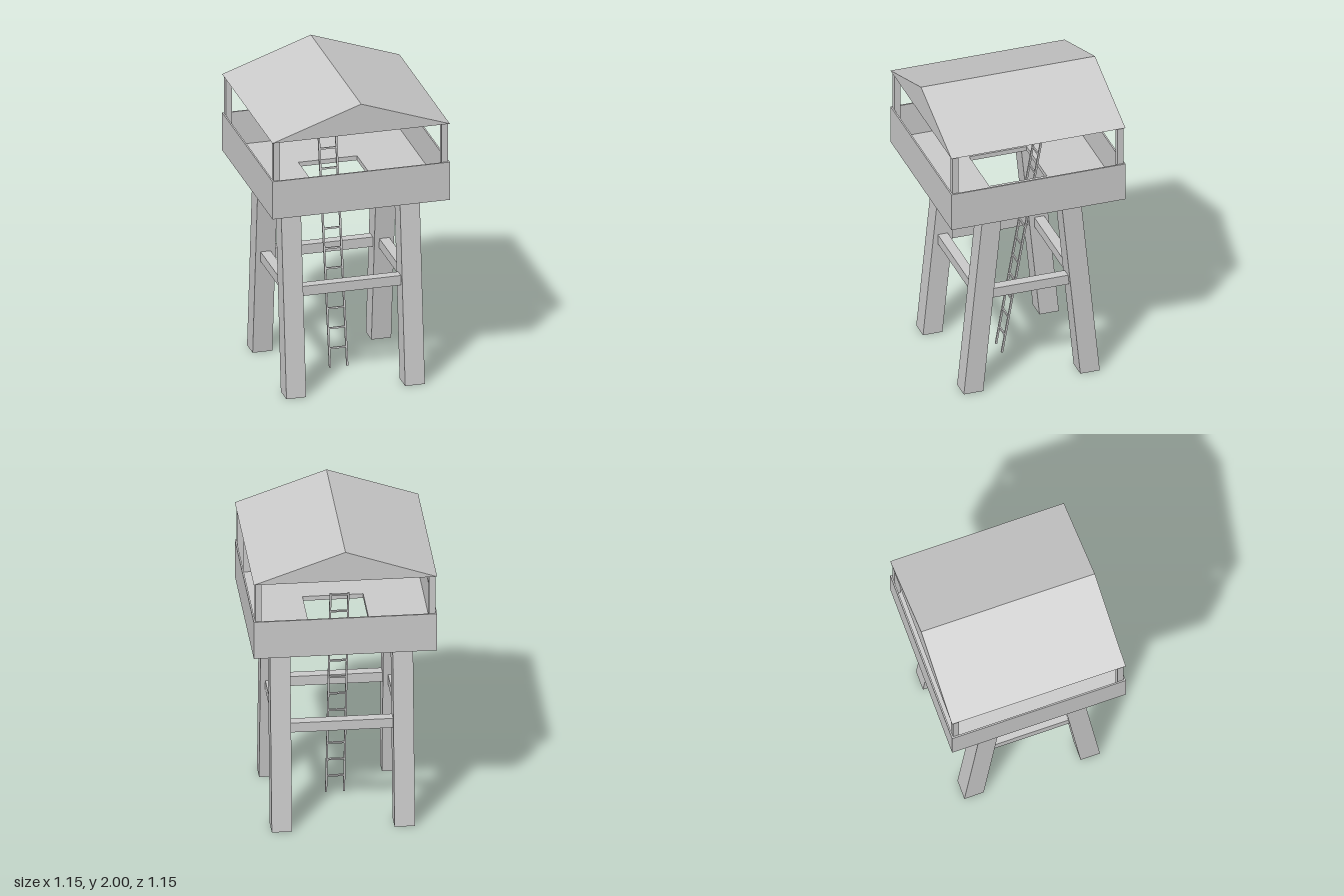
import * as THREE from 'three';

const material = new THREE.MeshStandardMaterial({ color: 0xcccccc, flatShading: true });

function add(parent, name, geometry, x = 0, y = 0, z = 0) {
  const mesh = new THREE.Mesh(geometry, material);
  mesh.name = name;
  mesh.position.set(x, y, z);
  parent.add(mesh);
  return mesh;
}

// Square outline of half-width h
function square(h, Type = THREE.Shape) {
  return new Type([[-h, -h], [h, -h], [h, h], [-h, h]].map(p => new THREE.Vector2(...p)));
}

// Horizontal square slab with a square opening, base at y = 0
function frame(outer, inner, height) {
  const shape = square(outer);
  shape.holes.push(square(inner, THREE.Path));
  return new THREE.ExtrudeGeometry(shape, { depth: height, bevelEnabled: false }).rotateX(-Math.PI / 2);
}

// Upright leg whose top leans by dz, with level ends
function leaningLeg(width, height, dz) {
  const g = new THREE.BoxGeometry(width, height, width).translate(0, height / 2, 0);
  const p = g.attributes.position;
  for (let i = 0; i < p.count; i++) p.setZ(i, p.getZ(i) + dz * p.getY(i) / height);
  g.computeVertexNormals();
  return g;
}

export function createModel() {
  const model = new THREE.Group();
  model.name = 'watchtower';
  const deckY = 1.285, half = 0.575, wall = 0.01, lean = 0.127;

  // Legs and corner posts
  for (const sx of [-1, 1]) for (const sz of [-1, 1]) {
    add(model, 'leg', leaningLeg(0.128, deckY, -sz * lean), sx * 0.385, 0, sz * 0.385);
    add(model, 'roofPost', new THREE.BoxGeometry(0.04, 0.49, 0.04), sx * 0.545, 1.555, sz * 0.545);
  }

  // Cross braces between the legs
  for (const s of [-1, 1]) {
    add(model, 'frontBackBrace', new THREE.BoxGeometry(0.66, 0.065, 0.065), 0, 0.677, s * 0.319);
    add(model, 'sideBrace', new THREE.BoxGeometry(0.065, 0.065, 0.56), s * 0.385, 0.677, 0);
  }

  // Cabin floor with hatch, and the parapet around it
  add(model, 'floor', frame(half - wall, 0.19, 0.03), 0, deckY, 0);
  add(model, 'parapet', frame(half, half - wall, 0.255), 0, deckY, 0);

  // Solid gable roof, ridge along z
  const gable = new THREE.Shape([[-half, 0], [half, 0], [0, 0.2]].map(p => new THREE.Vector2(...p)));
  add(model, 'roof', new THREE.ExtrudeGeometry(gable, { depth: 2 * half, bevelEnabled: false }), 0, 1.8, -half);

  // Leaning ladder through the hatch
  const ladder = new THREE.Group();
  ladder.name = 'ladder';
  const bottom = new THREE.Vector3(0, 0.012, 0.06), top = new THREE.Vector3(0, 1.53, -0.207);
  const length = bottom.distanceTo(top);
  ladder.position.copy(bottom);
  ladder.rotation.x = Math.atan2(top.z - bottom.z, top.y - bottom.y);
  for (const s of [-1, 1]) {
    add(ladder, 'ladderRail', new THREE.BoxGeometry(0.012, length, 0.012), s * 0.056, length / 2, 0);
  }
  for (let i = 0; i < 12; i++) {
    add(ladder, 'rung', new THREE.BoxGeometry(0.102, 0.011, 0.011), 0, 0.122 + i * 0.128, 0);
  }
  model.add(ladder);
  return model;
}
